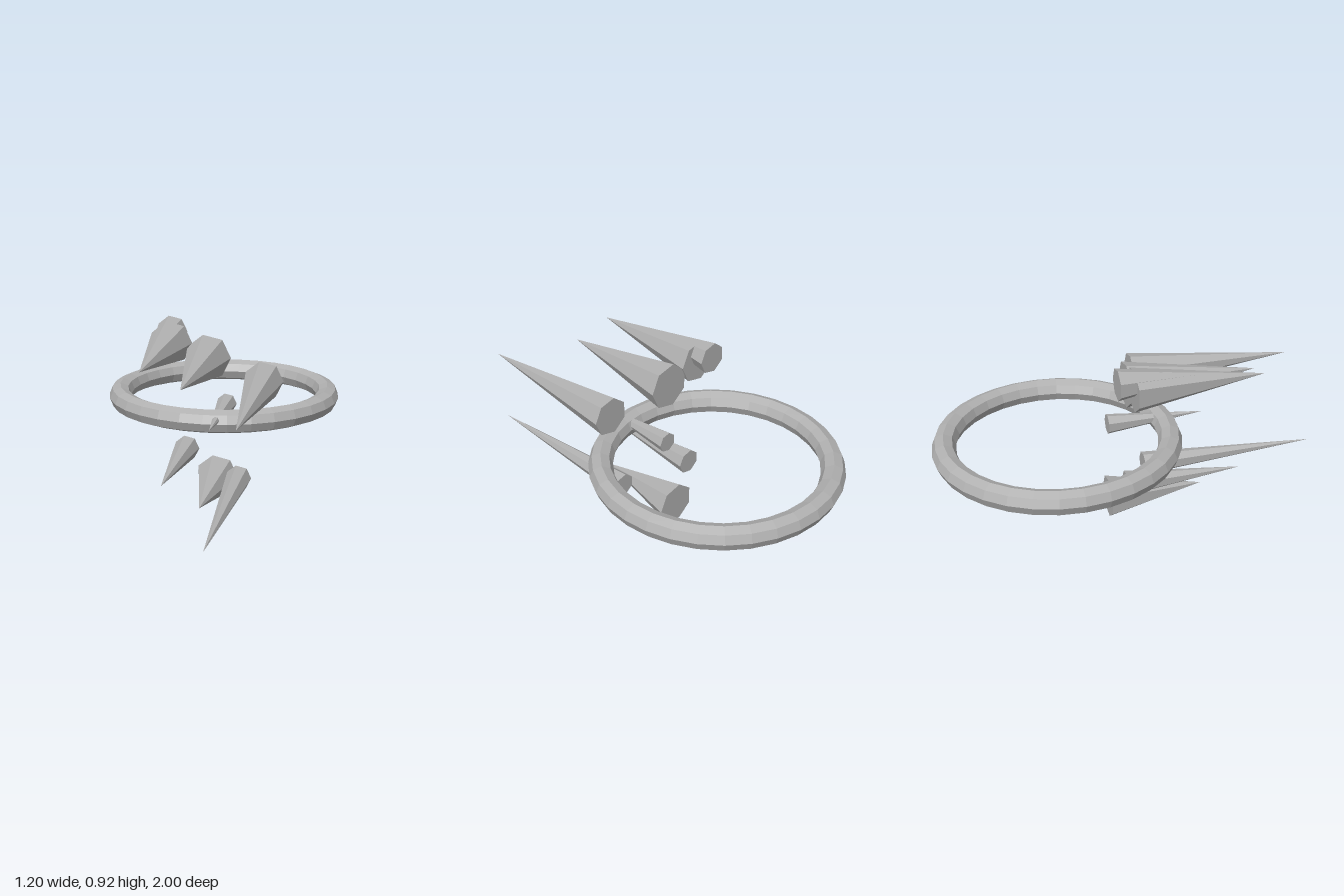
import * as THREE from 'three';

export function createModel() {
  const group = new THREE.Group();
  const grey = new THREE.MeshStandardMaterial({ color: 0xb0b0b0 });
  grey.name = 'stone grey';

  // Flat facets everywhere
  const add = (name, geometry, x, y, z) => {
    const flat = geometry.toNonIndexed();
    flat.computeVertexNormals();
    const mesh = new THREE.Mesh(flat, grey);
    mesh.name = name;
    mesh.position.set(x, y, z);
    group.add(mesh);
  };

  // Horizontal ring with an octagonal section
  add('ring', new THREE.TorusGeometry(0.542, 0.058, 8, 32).rotateX(-Math.PI / 2), 0, 0.478, -0.4);

  // Seven-sided spikes flying forward: x, y, radius, base z, tip z
  const spikes = [
    [-0.023, 0.742, 0.114, -0.07, 0.585],
    [-0.21, 0.807, 0.107, -0.08, 0.56],
    [-0.221, 0.85, 0.077, -0.16, 0.29],
    [0.266, 0.66, 0.096, 0.03, 0.875],
    [0.06, 0.495, 0.05, -0.14, 0.355],
    [-0.137, 0.262, 0.0635, -0.1, 0.49],
    [0.155, 0.178, 0.062, 0.07, 1],
    [0.009, 0.106, 0.107, -0.153, 0.335],
  ];
  spikes.forEach(([x, y, radius, base, tip], i) => {
    const cone = new THREE.ConeGeometry(radius, tip - base, 7).rotateX(Math.PI / 2).rotateZ(Math.PI / 2);
    add(`spike${i + 1}`, cone, x, y, (base + tip) / 2);
  });

  return group;
}
